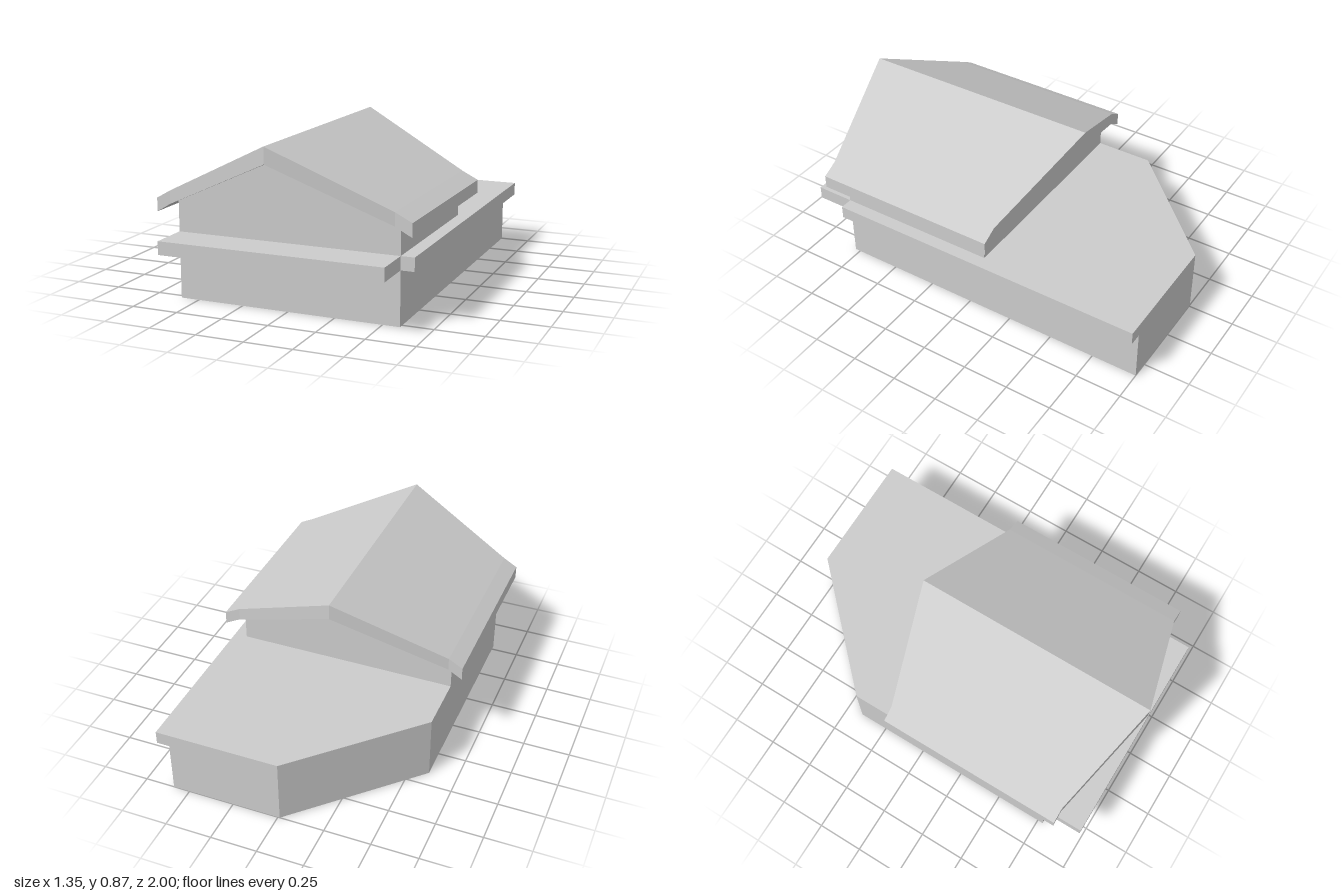
import * as THREE from 'three';

const material = new THREE.MeshStandardMaterial({ color: 0xcccccc, flatShading: true });

function add(group, name, geometry) {
  const mesh = new THREE.Mesh(geometry, material);
  mesh.name = name;
  group.add(mesh);
  return mesh;
}

function prism(points, depth) {
  const shape = new THREE.Shape(points.map(([x, y]) => new THREE.Vector2(x, y)));
  return new THREE.ExtrudeGeometry(shape, { depth, bevelEnabled: false });
}

function slab(x0, x1, y0, y1, z0, z1) {
  return new THREE.BoxGeometry(x1 - x0, y1 - y0, z1 - z0)
    .translate((x0 + x1) / 2, (y0 + y1) / 2, (z0 + z1) / 2);
}

// Loft four-cornered sections running from the -x eave to the +x eave.
function roofGeometry(sections) {
  const positions = [];
  const index = [];
  for (const [x, bottom, top, back, front] of sections) {
    positions.push(x, bottom, back, x, bottom, front, x, top, front, x, top, back);
  }
  const quad = (a, b, c, d) => index.push(a, b, c, a, c, d);
  for (let s = 0; s < sections.length - 1; s++) {
    for (let k = 0; k < 4; k++) {
      const a = s * 4 + k;
      const b = s * 4 + (k + 1) % 4;
      quad(a, a + 4, b + 4, b);
    }
  }
  const e = (sections.length - 1) * 4;
  quad(0, 1, 2, 3);
  quad(e + 3, e + 2, e + 1, e);
  const indexed = new THREE.BufferGeometry();
  indexed.setAttribute('position', new THREE.Float32BufferAttribute(positions, 3));
  indexed.setIndex(index);
  const geometry = indexed.toNonIndexed();
  geometry.computeVertexNormals();
  return geometry;
}

export function createModel() {
  const house = new THREE.Group();
  house.name = 'house';

  // Ground floor with one rear corner cut off; plan is drawn as (x, -z)
  const plan = [[-0.6, -0.78], [0.59, -0.78], [0.59, 1], [-0.01, 1], [-0.6, 0.41]];
  add(house, 'groundFloor', prism(plan, 0.35).rotateX(-Math.PI / 2));

  // Gabled upper floor
  const gable = [[-0.6, 0.35], [0.59, 0.35], [0.59, 0.51], [-0.01, 0.78], [-0.6, 0.51]];
  add(house, 'upperFloor', prism(gable, 0.88).translate(0, 0, -0.1));

  // Projecting ledges
  add(house, 'frontCanopy', slab(-0.6, 0.59, 0.28, 0.35, 0.78, 0.99));
  add(house, 'sideLedge', slab(0.59, 0.66, 0.28, 0.35, -1, 0.78));

  // Roof sections: x, underside, top, back z, front z
  add(house, 'roof', roofGeometry([
    [-0.675, 0.465, 0.535, -0.165, 0.86],
    [-0.6, 0.51, 0.578, -0.165, 0.86],
    [-0.008, 0.78, 0.865, -0.33, 1],
    [0.59, 0.51, 0.578, -0.165, 0.86],
    [0.675, 0.465, 0.535, -0.165, 0.86],
  ]));

  return house;
}
